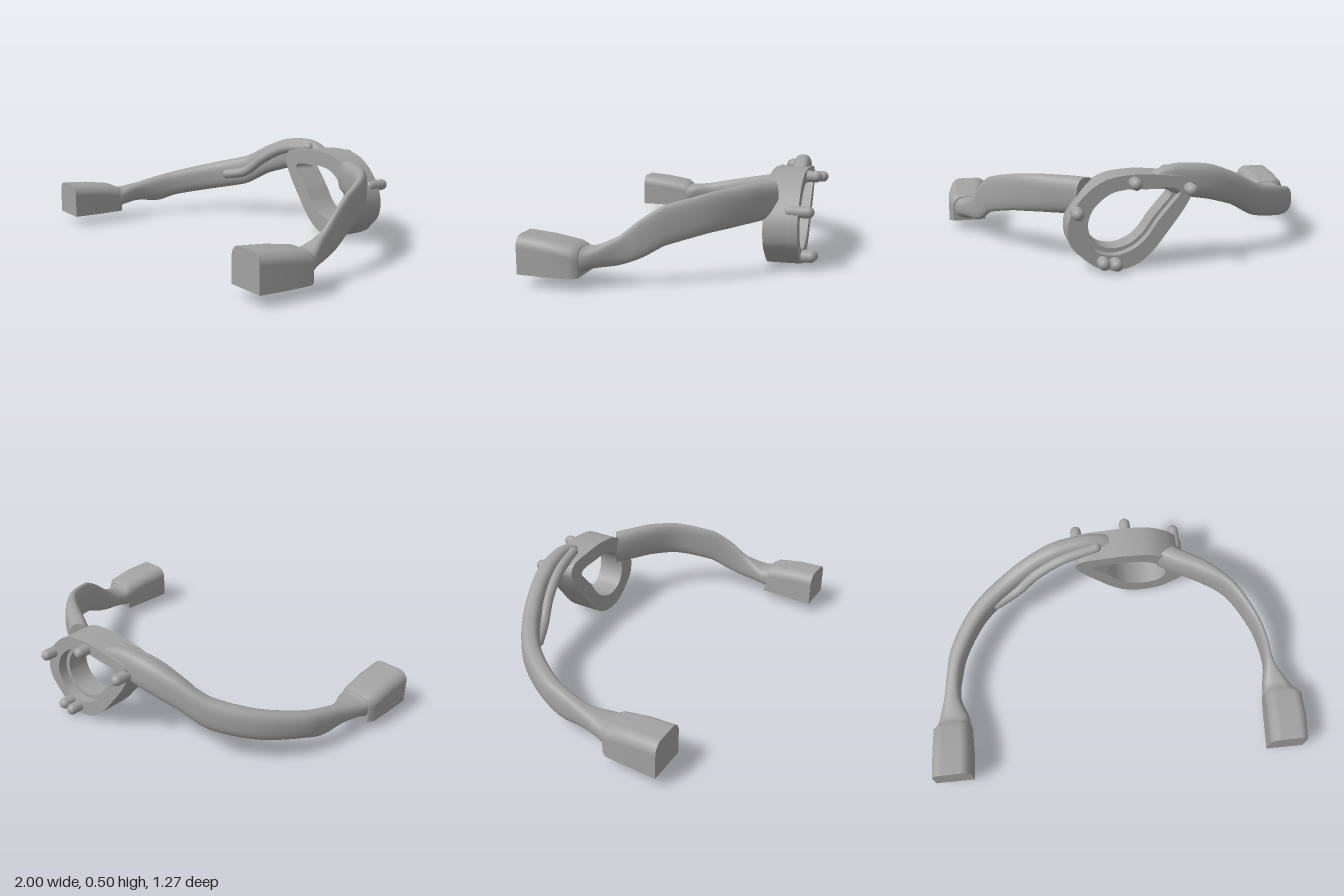
import * as THREE from 'three';
import { toCreasedNormals } from 'three/addons/utils/BufferGeometryUtils.js';

const grey = new THREE.MeshStandardMaterial({ color: 0xa2a2a2, side: THREE.DoubleSide });
grey.name = 'grey plastic';

function add(parent, name, geometry) {
  const mesh = new THREE.Mesh(geometry, grey);
  mesh.name = name;
  parent.add(mesh);
  return mesh;
}

// Skin a list of equal-length rings; closed rings wrap round.
function loft(rings, closed) {
  const n = rings[0].length, pos = [], idx = [];
  rings.forEach(r => r.forEach(p => pos.push(...p)));
  for (let i = 0; i < rings.length - 1; i++) {
    for (let j = 0; j < (closed ? n : n - 1); j++) {
      const a = i * n + j, b = i * n + (j + 1) % n;
      idx.push(a, a + n, b, b, a + n, b + n);
    }
  }
  const g = new THREE.BufferGeometry();
  g.setAttribute('position', new THREE.Float32BufferAttribute(pos, 3));
  g.setIndex(idx);
  g.computeVertexNormals();
  return g;
}

// Flat fan closing one ring.
function cap(ring, flip) {
  const idx = [];
  for (let j = 1; j < ring.length - 1; j++) idx.push(0, flip ? j + 1 : j, flip ? j : j + 1);
  const g = new THREE.BufferGeometry();
  g.setAttribute('position', new THREE.Float32BufferAttribute(ring.flat(), 3));
  g.setIndex(idx);
  g.computeVertexNormals();
  return g;
}

// Arm from stations [outer x, outer z, inner x, inner z, bottom y, top y].
function arm(parent, name, stations) {
  const curve = k => new THREE.CatmullRomCurve3(
    stations.map(s => new THREE.Vector3(s[k], s[k + 1], 0)));
  const curves = [0, 2, 4].map(curve);
  const soft = v => Math.sign(v) * Math.abs(v) ** 0.75;
  const rings = [];
  for (let i = 0; i <= 72; i++) {
    const [o, n, h] = curves.map(c => c.getPoint(i / 72));
    const ring = [];
    for (let j = 0; j < 28; j++) {
      const a = j / 28 * Math.PI * 2;
      const u = 0.5 + soft(Math.cos(a)) / 2, v = 0.5 + soft(Math.sin(a)) / 2;
      ring.push([n.x + (o.x - n.x) * u, h.x + (h.y - h.x) * v, n.y + (o.y - n.y) * u]);
    }
    rings.push(ring);
  }
  add(parent, name, loft(rings, true));
  add(parent, name + 'End', cap(rings[72], false));
}

// Foot from sections [z, x low, x high, top y], with a socket underneath.
function foot(name, sections) {
  const group = new THREE.Group();
  group.name = name;
  const base = 0.06;
  const rings = sections.map(([z, x0, x1, top]) => {
    const r = 0.055, ring = [[x0, base, z]];
    for (let k = 0; k <= 16; k++) {
      const right = k > 8, a = Math.PI - (right ? k - 1 : k) / 15 * Math.PI;
      const cx = right ? x1 - r : x0 + r;
      ring.push([cx + r * Math.cos(a), top - r + r * Math.sin(a), z]);
    }
    ring.push([x1, base, z]);
    return ring;
  });
  add(group, 'footShell', loft(rings, false));
  add(group, 'footFront', cap(rings[rings.length - 1], true));
  add(group, 'footBack', cap(rings[0], false));

  // Underside with a round socket
  const outline = [...sections.map(s => [s[1], s[0]]), ...sections.map(s => [s[2], s[0]]).reverse()];
  const shape = new THREE.Shape(outline.map(p => new THREE.Vector2(...p)));
  const cx = (sections[1][1] + sections[1][2]) / 2, cz = 0.48, r = 0.037, depth = 0.1;
  shape.holes.push(new THREE.Path().absarc(cx, cz, r, 0, Math.PI * 2, true));
  add(group, 'footSole', new THREE.ShapeGeometry(shape, 24).rotateX(Math.PI / 2)).position.y = base;
  add(group, 'socketWall', new THREE.CylinderGeometry(r, r, depth, 32, 1, true))
    .position.set(cx, base + depth / 2, cz);
  add(group, 'socketEnd', new THREE.CircleGeometry(r, 32).rotateX(Math.PI / 2))
    .position.set(cx, base + depth, cz);
  return group;
}

// Smooth closed outline through a few points.
function loop(points) {
  return new THREE.CatmullRomCurve3(points.map(([x, y]) => new THREE.Vector3(x, y, 0)), true)
    .getPoints(96).slice(0, 96).map(p => new THREE.Vector2(p.x, p.y));
}

export function createModel() {
  const model = new THREE.Group();
  model.name = 'headFrame';

  // Teardrop ring, with a wider opening at the back
  const outer = [[-0.15, 0.395], [-0.12, 0.44], [0.01, 0.46], [0.145, 0.467], [0.28, 0.445],
    [0.39, 0.365], [0.455, 0.25], [0.45, 0.145], [0.39, 0.075], [0.315, 0.022], [0.225, 0.005],
    [0.13, 0.027], [0.05, 0.09], [-0.015, 0.17], [-0.125, 0.325]];
  const inner = [[-0.055, 0.358], [-0.035, 0.375], [0.07, 0.383], [0.17, 0.385], [0.25, 0.365],
    [0.33, 0.295], [0.355, 0.225], [0.345, 0.17], [0.305, 0.12], [0.225, 0.1], [0.145, 0.125],
    [0.09, 0.17], [0.04, 0.24], [-0.015, 0.305]];
  const wide = inner.map(([x, y]) => [0.17 + (x - 0.17) * 1.14, 0.25 + (y - 0.25) * 1.14]);
  const ring = (name, hole, back, front) => {
    const shape = new THREE.Shape(loop(outer));
    shape.holes.push(new THREE.Path(loop(hole)));
    const g = new THREE.ExtrudeGeometry(shape, { depth: front - back, bevelEnabled: false });
    add(model, name, toCreasedNormals(g, 0.5)).position.z = back;
  };
  ring('ring', inner, -0.51, -0.393);
  ring('ringRim', wide, -0.56, -0.51);

  // Round-ended pins on the back of the ring
  for (const [x, y] of [[-0.13, 0.39], [0.14, 0.43], [0.415, 0.3], [0.235, 0.043], [0.295, 0.052]]) {
    const pin = add(model, 'pin', new THREE.CapsuleGeometry(0.029, 0.09, 8, 20).rotateX(Math.PI / 2));
    pin.position.set(x, y, -0.561);
  }

  // Arms curving from the feet to the ring
  arm(model, 'rightArm', [
    [-0.97, 0.36, -0.795, 0.36, 0.06, 0.2], [-0.955, 0.31, -0.795, 0.32, 0.085, 0.187],
    [-0.925, 0.2, -0.835, 0.2, 0.095, 0.2], [-0.9, 0.06, -0.82, 0.07, 0.082, 0.23],
    [-0.87, -0.06, -0.785, -0.03, 0.11, 0.255], [-0.743, -0.267, -0.663, -0.214, 0.145, 0.305],
    [-0.556, -0.417, -0.49, -0.345, 0.19, 0.36], [-0.4, -0.485, -0.36, -0.4, 0.27, 0.44],
    [-0.25, -0.53, -0.235, -0.43, 0.315, 0.49], [-0.1, -0.545, -0.1, -0.455, 0.345, 0.503],
    [0, -0.545, 0, -0.465, 0.39, 0.485], [0.07, -0.535, 0.07, -0.465, 0.4, 0.45]]);
  arm(model, 'leftArm', [
    [0.975, 0.36, 0.8, 0.36, 0.06, 0.2], [0.95, 0.31, 0.8, 0.31, 0.085, 0.187],
    [0.875, 0.19, 0.82, 0.19, 0.1, 0.235], [0.845, 0.09, 0.803, 0.09, 0.135, 0.315],
    [0.807, -0.016, 0.765, 0, 0.188, 0.375], [0.7, -0.214, 0.647, -0.187, 0.238, 0.425],
    [0.567, -0.35, 0.51, -0.28, 0.252, 0.44], [0.46, -0.42, 0.385, -0.345, 0.255, 0.44],
    [0.4, -0.46, 0.3, -0.395, 0.26, 0.437]]);

  // Slim ridge along the inside of the right arm
  const path = new THREE.CatmullRomCurve3([[-0.6, 0.245, -0.285], [-0.48, 0.275, -0.34],
    [-0.37, 0.36, -0.385], [-0.22, 0.435, -0.425], [-0.03, 0.462, -0.465]]
    .map(p => new THREE.Vector3(...p)));
  add(model, 'armRidge', new THREE.TubeGeometry(path, 48, 0.028, 16));
  add(model, 'ridgeTip', new THREE.SphereGeometry(0.028, 16, 12)).position.copy(path.getPoint(0));
  add(model, 'ridgeTip', new THREE.SphereGeometry(0.028, 16, 12)).position.copy(path.getPoint(1));

  // Feet
  model.add(foot('rightFoot', [[0.34, -0.965, -0.797, 0.195], [0.37, -0.988, -0.792, 0.21],
    [0.5, -0.995, -0.79, 0.23], [0.635, -1, -0.795, 0.24]]));
  model.add(foot('leftFoot', [[0.34, 0.805, 0.975, 0.195], [0.37, 0.8, 0.998, 0.21],
    [0.5, 0.79, 0.995, 0.23], [0.635, 0.78, 0.98, 0.24]]));
  return model;
}
